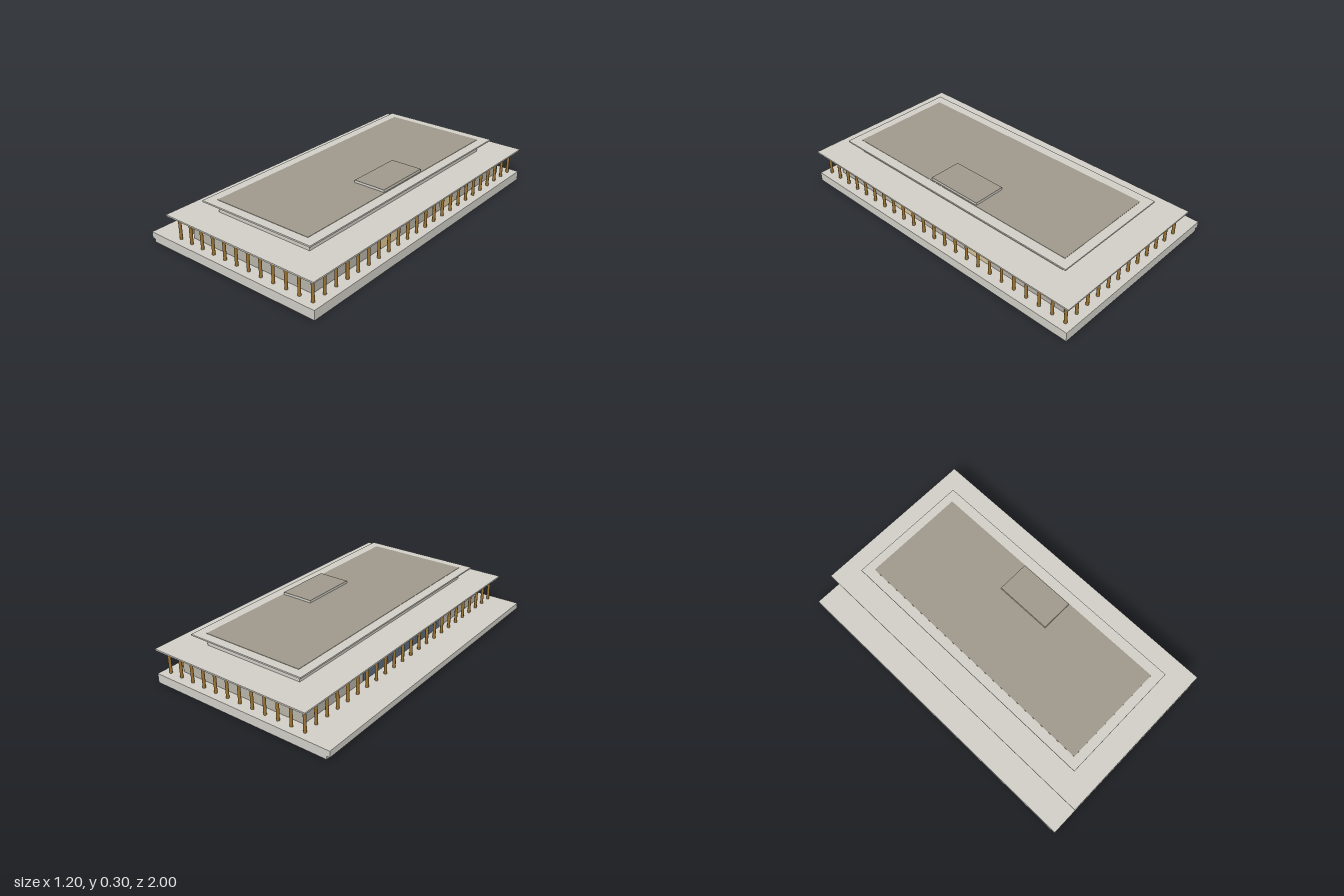
import * as THREE from 'three';

const mat = (color) => new THREE.MeshStandardMaterial({ color });

export function createModel() {
  const model = new THREE.Group();
  const stone = mat(0xd2d0c8), wall = mat(0xbab6ac), gold = mat(0x9c7432);
  const glass = mat(0x5b6d7f), deck = mat(0xa09a8c), cream = mat(0xdcc898);

  // Box given by its extents along each axis
  const box = (name, material, [x0, x1], [y0, y1], [z0, z1], parent = model) => {
    const mesh = new THREE.Mesh(new THREE.BoxGeometry(x1 - x0, y1 - y0, z1 - z0), material);
    mesh.position.set((x0 + x1) / 2, (y0 + y1) / 2, (z0 + z1) / 2);
    mesh.name = name;
    parent.add(mesh);
    return mesh;
  };
  const group = (name) => {
    const g = new THREE.Group();
    g.name = name;
    model.add(g);
    return g;
  };

  // Podium, with an undercut lip along the left-hand edge
  const profile = new THREE.Shape([
    [-0.58, 0], [0.597, 0], [0.597, 0.057], [-0.6, 0.057], [-0.6, 0.02], [-0.58, 0.02],
  ].map(([x, y]) => new THREE.Vector2(x, y)));
  const podium = new THREE.Mesh(
    new THREE.ExtrudeGeometry(profile, { depth: 2, bevelEnabled: false }).translate(0, 0, -1), stone);
  podium.name = 'podium';
  model.add(podium);

  // Main storey and its wide flat roof
  box('mainWalls', wall, [-0.36, 0.497], [0.057, 0.204], [-0.9, 0.9]);
  box('lowerRoof', stone, [-0.455, 0.595], [0.203, 0.212], [-1, 1]);

  // Colonnade around the whole perimeter
  const columns = group('colonnade');
  const columnGeometry = new THREE.CylinderGeometry(0.009, 0.009, 0.147, 12);
  const addColumn = (x, z) => {
    const column = new THREE.Mesh(columnGeometry, gold);
    column.name = 'column';
    column.position.set(x, 0.1302, z);
    columns.add(column);
  };
  const xMin = -0.41, xMax = 0.545, zEnd = 0.95, nx = 11, nz = 22;
  for (let i = 0; i <= nx; i++) {
    for (const z of [-zEnd, zEnd]) addColumn(xMin + (xMax - xMin) * i / nx, z);
  }
  for (let i = 1; i < nz; i++) {
    for (const x of [xMin, xMax]) addColumn(x, -zEnd + 2 * zEnd * i / nz);
  }

  // Pair of doors with thin lintels on one side, glazed entrance on the other
  const doors = group('doors');
  for (const s of [-1, 1]) {
    const z = s * 0.295;
    box('door', cream, [0.49, 0.499], [0.057, 0.163], [z - 0.075, z + 0.075], doors);
    box('doorLintel', cream, [0.49, 0.503], [0.163, 0.169], [z - 0.08, z + 0.08], doors);
  }
  box('entranceGlass', glass, [-0.363, -0.35], [0.06, 0.18], [-0.4, 0.4], doors);

  // Upper storey
  box('upperWalls', stone, [-0.257, 0.395], [0.212, 0.28], [-0.8, 0.8]);

  // Clerestory windows on all four sides
  const windows = group('clerestoryWindows');
  const wy = [0.232, 0.268], half = 0.021;
  for (let i = 0; i < 8; i++) {
    const x = -0.201 + i * 0.0771;
    for (const s of [-1, 1]) {
      box('window', glass, [x - half, x + half], wy, [s * 0.8 - 0.002, s * 0.8 + 0.002], windows);
    }
  }
  for (let i = 0; i < 17; i++) {
    const z = -0.75 + i * 0.09375;
    for (const x of [-0.257, 0.395]) {
      box('window', glass, [x - 0.002, x + 0.002], wy, [z - half, z + half], windows);
    }
  }

  // Upper roof, roof covering and rooftop plant room
  box('upperRoof', stone, [-0.315, 0.452], [0.278, 0.287], [-0.86, 0.86]);
  box('roofCovering', deck, [-0.257, 0.39], [0.286, 0.289], [-0.805, 0.805]);
  box('plantRoom', stone, [0.18, 0.383], [0.288, 0.302], [-0.178, 0.178]);
  box('plantRoomCovering', deck, [0.18, 0.383], [0.302, 0.304], [-0.178, 0.178]);

  return model;
}
